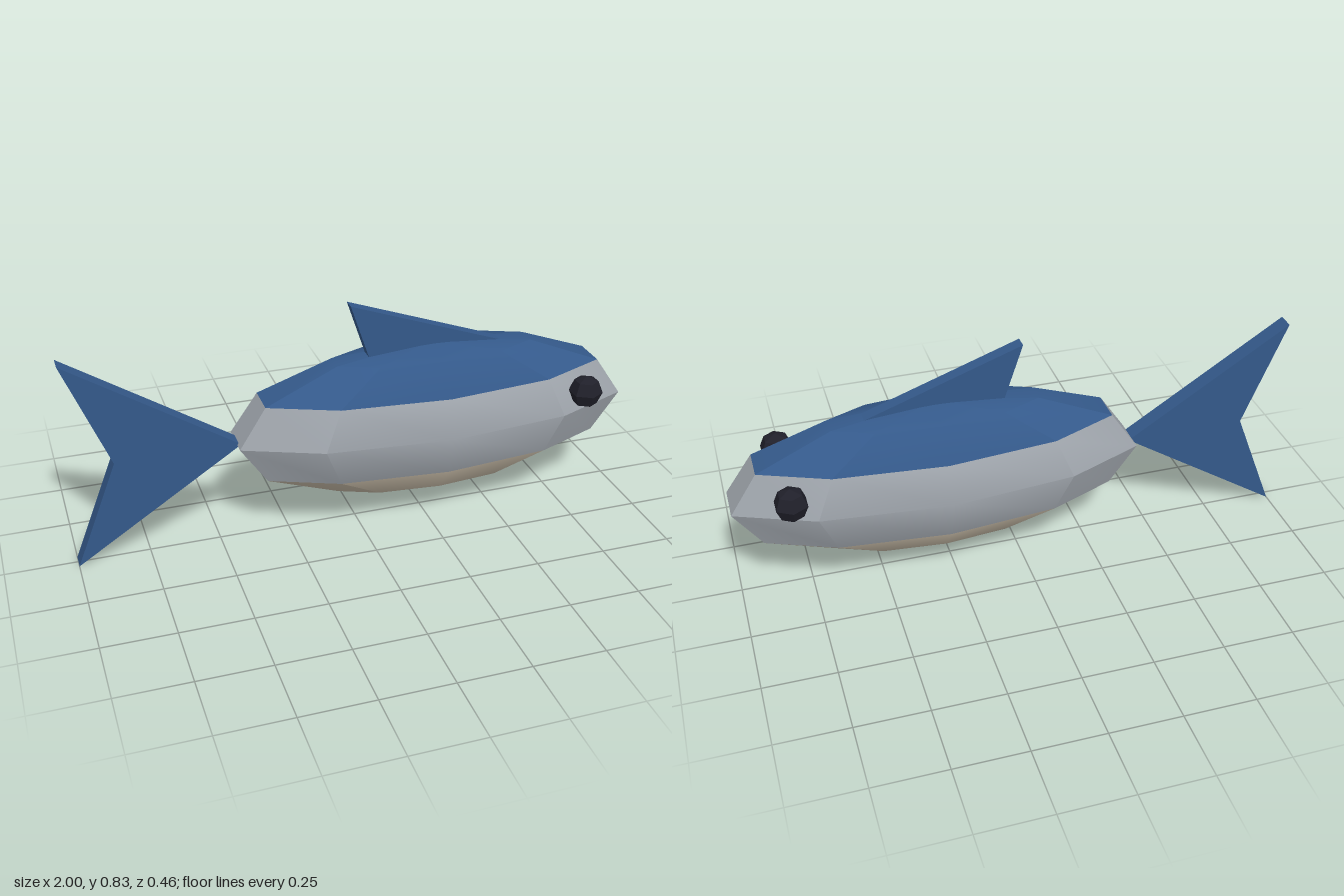
import * as THREE from 'three';
import { toCreasedNormals } from 'three/addons/utils/BufferGeometryUtils.js';

const material = (name, color, flatShading = false) => {
  const m = new THREE.MeshStandardMaterial({ color, flatShading });
  m.name = name;
  return m;
};

// Flat fin: an outline in the xy plane, extruded evenly about z = 0
function fin(name, points, thickness, mat) {
  const shape = new THREE.Shape(points.map(([x, y]) => new THREE.Vector2(x, y)));
  const geo = new THREE.ExtrudeGeometry(shape, { depth: thickness, bevelEnabled: false });
  geo.translate(0, 0, -thickness / 2);
  const mesh = new THREE.Mesh(geo, mat);
  mesh.name = name;
  return mesh;
}

export function createModel() {
  const blue = material('backBlue', 0x34598a);
  const grey = material('sideGrey', 0xa0a6ad);
  const cream = material('bellyCream', 0xc8bca8);
  const black = material('eyeBlack', 0x20202a, true);

  const fish = new THREE.Group();
  fish.name = 'fish';

  // Body: ten-sided ellipsoid turned so a flat facet makes the nose;
  // the six rows are coloured in pairs: back, sides, belly
  const ball = new THREE.SphereGeometry(1, 10, 6, Math.PI / 10);
  ball.scale(0.752, 0.285, 0.225);
  ball.clearGroups();
  ball.addGroup(0, 90, 0);
  ball.addGroup(90, 120, 1);
  ball.addGroup(210, 90, 2);
  const body = new THREE.Mesh(toCreasedNormals(ball, Math.PI / 6), [blue, grey, cream]);
  body.name = 'body';
  body.position.set(0.285, 0.377, 0);
  fish.add(body);

  // Tail and dorsal fins
  fish.add(fin('tailFin', [[-0.415, 0.378], [-1, 0.756], [-0.85, 0.378], [-1, 0]], 0.06, blue));
  fish.add(fin('dorsalFin', [[0.05, 0.62], [0.54, 0.632], [-0.02, 0.832]], 0.046, blue));

  // Eyes
  for (const side of [1, -1]) {
    const eye = new THREE.Mesh(new THREE.SphereGeometry(0.06, 6, 4, Math.PI / 6), black);
    eye.name = side > 0 ? 'frontEye' : 'backEye';
    eye.position.set(0.809, 0.457, side * 0.168);
    fish.add(eye);
  }
  return fish;
}
